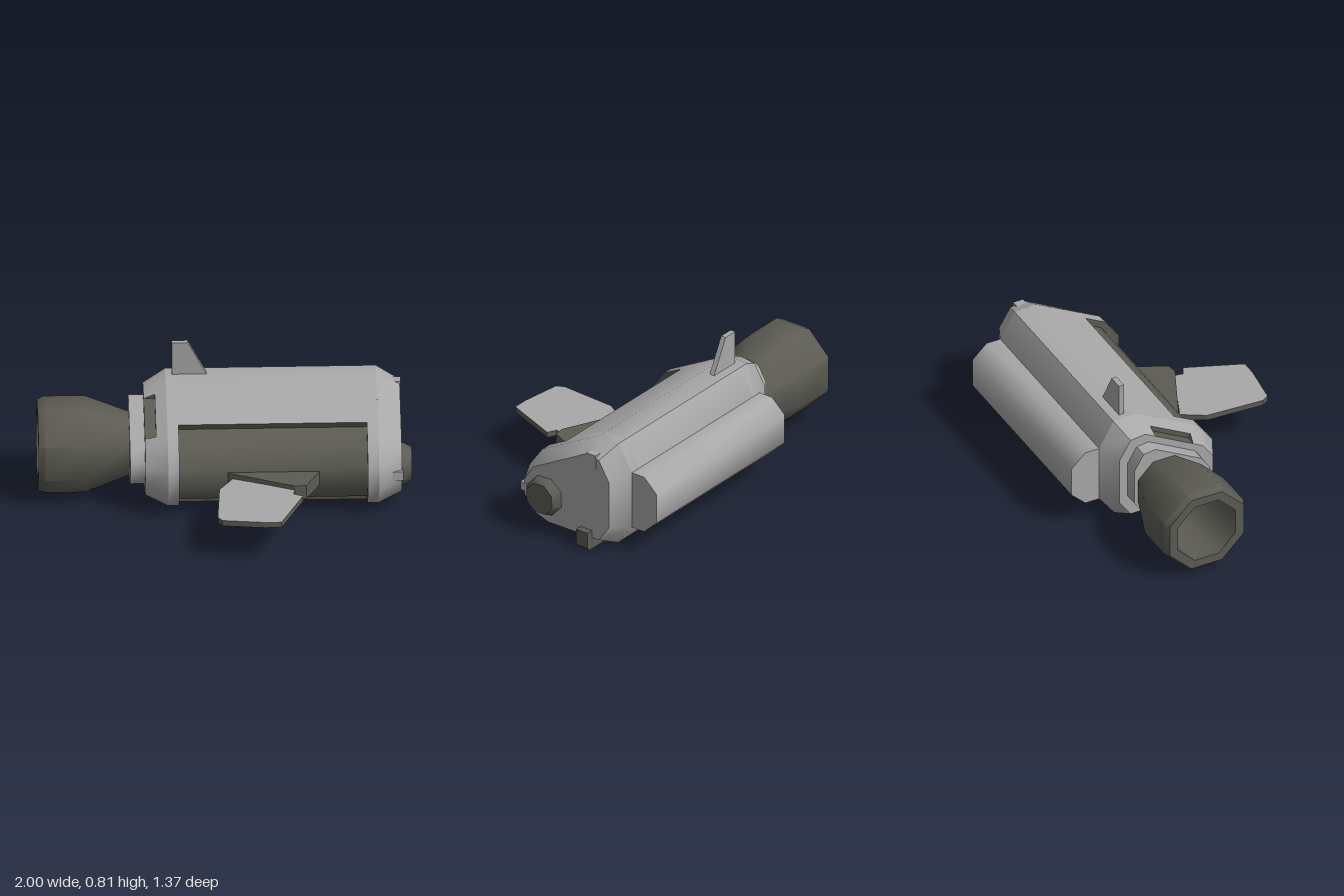
import * as THREE from 'three';
import { toCreasedNormals } from 'three/addons/utils/BufferGeometryUtils.js';

const light = new THREE.MeshStandardMaterial({ color: 0xa8a8a8 });
light.name = 'light grey hull';
const dark = new THREE.MeshStandardMaterial({ color: 0x5c5c54 });
dark.name = 'dark grey metal';

// Hull sections as [z, y], running from the front over the top to the back and underneath.
// Points 3/4 and 10/11 are doubled where the front recess begins and ends.
const OUTER = [[0.17, 0.17], [0.17, 0.3], [0.085, 0.417], [-0.03, 0.479], [-0.03, 0.479], [-0.3, 0.626], [-0.43, 0.62],
  [-0.517, 0.47], [-0.517, 0.138], [-0.425, 0.015], [-0.05, 0.01], [-0.05, 0.01], [0.085, 0.055]];
const RECESS = OUTER.map((p) => p.slice());
[[0, 0.13, 0.18], [1, 0.13, 0.29], [2, 0.06, 0.388], [3, -0.045, 0.445], [11, -0.045, 0.045], [12, 0.065, 0.085]]
  .forEach(([i, z, y]) => { RECESS[i] = [z, y]; });
const RECESS_SIDES = [10, 11, 12, 0, 1, 2, 3];

// Simple ring without the doubled points, and the smaller ring at both ends
const RIM = OUTER.filter((p, i) => ![3, 4, 11].includes(i));
const END = [[0.11, 0.19], [0.11, 0.285], [0.05, 0.373], [-0.3, 0.568], [-0.39, 0.557],
  [-0.458, 0.443], [-0.458, 0.168], [-0.39, 0.072], [-0.05, 0.07], [0.05, 0.105]];
const COLLAR = END.map(([z, y]) => [-0.18 + (z + 0.174) * 0.8, 0.315 + (y - 0.319) * 0.79]);

const at = (x, [z, y]) => [x, y, z];
const mix = (a, b, t) => a.map((v, i) => v + (b[i] - v) * t);

function add(group, name, geometry, material) {
  const mesh = new THREE.Mesh(geometry, material);
  mesh.name = name;
  group.add(mesh);
  return mesh;
}

// Mesh from a list of four-cornered faces, skipping collapsed ones
function addFaces(group, name, quads, material, crease = 0.72) {
  const pos = [];
  const v = (p) => new THREE.Vector3(...p);
  for (const [a, b, c, d] of quads) {
    for (const tri of [[a, b, c], [a, c, d]]) {
      const [p, q, r] = tri.map(v);
      if (q.sub(p).cross(r.sub(p)).length() > 1e-8) tri.forEach((t) => pos.push(...t));
    }
  }
  const g = new THREE.BufferGeometry();
  g.setAttribute('position', new THREE.Float32BufferAttribute(pos, 3));
  return add(group, name, toCreasedNormals(g, crease), material);
}

// Faces joining two sections along x
function band(x0, r0, x1, r1, keep = () => true) {
  const quads = [];
  r0.forEach((p, i) => {
    const j = (i + 1) % r0.length;
    if (keep(i)) quads.push([at(x0, p), at(x1, r1[i]), at(x1, r1[j]), at(x0, r0[j])]);
  });
  return quads;
}

// Flat end face of a section
function cap(x, ring, facing) {
  const quads = [];
  for (let i = 1; i < ring.length - 1; i++) {
    const [a, b, c] = [at(x, ring[0]), at(x, ring[i]), at(x, ring[i + 1])];
    quads.push(facing < 0 ? [a, b, c, c] : [a, c, b, b]);
  }
  return quads;
}

function addBox(group, name, [x0, x1], [y0, y1], [z0, z1], material) {
  const g = new THREE.BoxGeometry(x1 - x0, y1 - y0, z1 - z0);
  g.translate((x0 + x1) / 2, (y0 + y1) / 2, (z0 + z1) / 2);
  return add(group, name, g, material);
}

function plate(points, depth) {
  const shape = new THREE.Shape(points.map(([x, y]) => new THREE.Vector2(x, y)));
  return new THREE.ExtrudeGeometry(shape, { depth, bevelEnabled: false });
}

// Eight-sided turned part along x; profile is [radius, x]
function addTurned(group, name, profile, y, z, twist = 0) {
  const pts = profile.map(([r, x]) => new THREE.Vector2(r, x));
  const g = new THREE.LatheGeometry(pts, 8, Math.PI / 8 + twist);
  g.rotateZ(-Math.PI / 2).translate(0, y, z);
  return add(group, name, toCreasedNormals(g, 0.85), dark);
}

export function createModel() {
  const model = new THREE.Group();
  model.name = 'spacecraftPod';

  // Hull: full section at both shoulders, recessed at the front in between
  const hull = new THREE.Group();
  hull.name = 'hull';
  model.add(hull);
  const inRecess = (i) => RECESS_SIDES.includes(i);
  addFaces(hull, 'hullShell', band(-0.25, OUTER, 0.76, OUTER, (i) => !inRecess(i)), light);
  addFaces(hull, 'rightShoulder', band(-0.31, OUTER, -0.25, OUTER), light);
  addFaces(hull, 'leftShoulder', band(0.76, OUTER, 0.82, OUTER), light);
  addFaces(hull, 'recessPanel', band(-0.25, RECESS, 0.76, RECESS, inRecess), dark);
  addFaces(hull, 'recessEnds', [...band(-0.25, OUTER, -0.25, RECESS, inRecess),
    ...band(0.76, RECESS, 0.76, OUTER, inRecess)], dark);

  // Tapered ends
  addFaces(hull, 'leftTaper', band(0.82, RIM, 0.945, END), light);
  addFaces(hull, 'leftEnd', cap(0.945, END, 1), light);
  addFaces(hull, 'rightEnd', cap(-0.43, END, -1), light);

  // Right taper, with a notch cut into its sloping top face
  const onSlope = (u, v) => mix(at(-0.43, mix(END[2], END[3], u)), at(-0.31, mix(RIM[2], RIM[3], u)), v);
  const slopeQuad = (u0, u1, v0, v1) => [onSlope(u0, v0), onSlope(u0, v1), onSlope(u1, v1), onSlope(u1, v0)];
  const [n0, n1] = [0.17, 0.83];
  addFaces(hull, 'rightTaper', [...band(-0.43, END, -0.31, RIM, (i) => i !== 2),
    slopeQuad(0, n0, 0, 1), slopeQuad(n1, 1, 0, 1), slopeQuad(n0, n1, 0.5, 1)], light);
  const [a, b, c, d] = slopeQuad(n0, n1, 0, 0.5);
  const [e, f] = [[b[0], a[1], a[2]], [c[0], d[1], d[2]]];
  addFaces(hull, 'notch', [[a, e, f, d], [e, b, c, f], [a, b, e, e], [d, f, c, c]], dark, 0.1);

  // Long pod along the back
  const POD = [[-0.5, 0.138], [-0.5, 0.47], [-0.6, 0.47], [-0.685, 0.39], [-0.685, 0.22], [-0.6, 0.138]];
  addFaces(model, 'backPod', [...band(-0.31, POD, 0.82, POD), ...cap(-0.31, POD, -1), ...cap(0.82, POD, 1)], light, 0.82);

  // Engine collar and hollow nozzle
  addFaces(model, 'engineCollar', [...band(-0.51, COLLAR, -0.43, COLLAR), ...cap(-0.51, COLLAR, -1)], light);
  addTurned(model, 'nozzle', [[0.12, -0.505], [0.19, -0.75], [0.19, -1], [0.243, -1],
    [0.26, -0.965], [0.26, -0.745], [0.168, -0.5]], 0.275, -0.23);

  // Round port on the left end
  addTurned(model, 'endPort', [[0.115, 0.94], [0.115, 0.955], [0.092, 1], [0, 1]], 0.228, -0.03, 0.06);

  // Latches around the left end
  addBox(model, 'topLatch', [0.88, 0.95], [0.495, 0.58], [-0.37, -0.31], light);
  addBox(model, 'frontLatch', [0.89, 0.95], [0.21, 0.26], [0.095, 0.135], light);
  const clamp = plate([[0.82, 0.005], [0.965, 0.005], [0.985, 0.022], [0.985, 0.115], [0.93, 0.115], [0.93, 0.08], [0.82, 0.02]], 0.077);
  add(model, 'bottomClamp', clamp.translate(0, 0, -0.345), dark);

  // Upright fin on top
  const fin = plate([[-0.275, 0.6], [-0.08, 0.6], [-0.09, 0.625], [-0.19, 0.812], [-0.275, 0.812]], 0.03);
  add(model, 'topFin', fin.translate(0, 0, -0.378), light);

  // Front wing on its bracket, both laid flat (outline is x, z)
  const flat = (points, y0, y1) => plate(points, y1 - y0).rotateX(Math.PI / 2).translate(0, y1, 0);
  add(model, 'wingBracket', flat([[0, 0.12], [0.505, 0.12], [0.5, 0.135], [0.425, 0.295], [0.365, 0.302], [0.02, 0.14]], 0.19, 0.27), dark);
  add(model, 'frontWing', flat([[-0.04, 0.28], [0.035, 0.155], [0.365, 0.295], [0.355, 0.345], [0.405, 0.37],
    [0.28, 0.68], [0.19, 0.68], [-0.035, 0.65], [-0.06, 0.61]], 0.213, 0.245), [light, dark]);

  return model;
}
